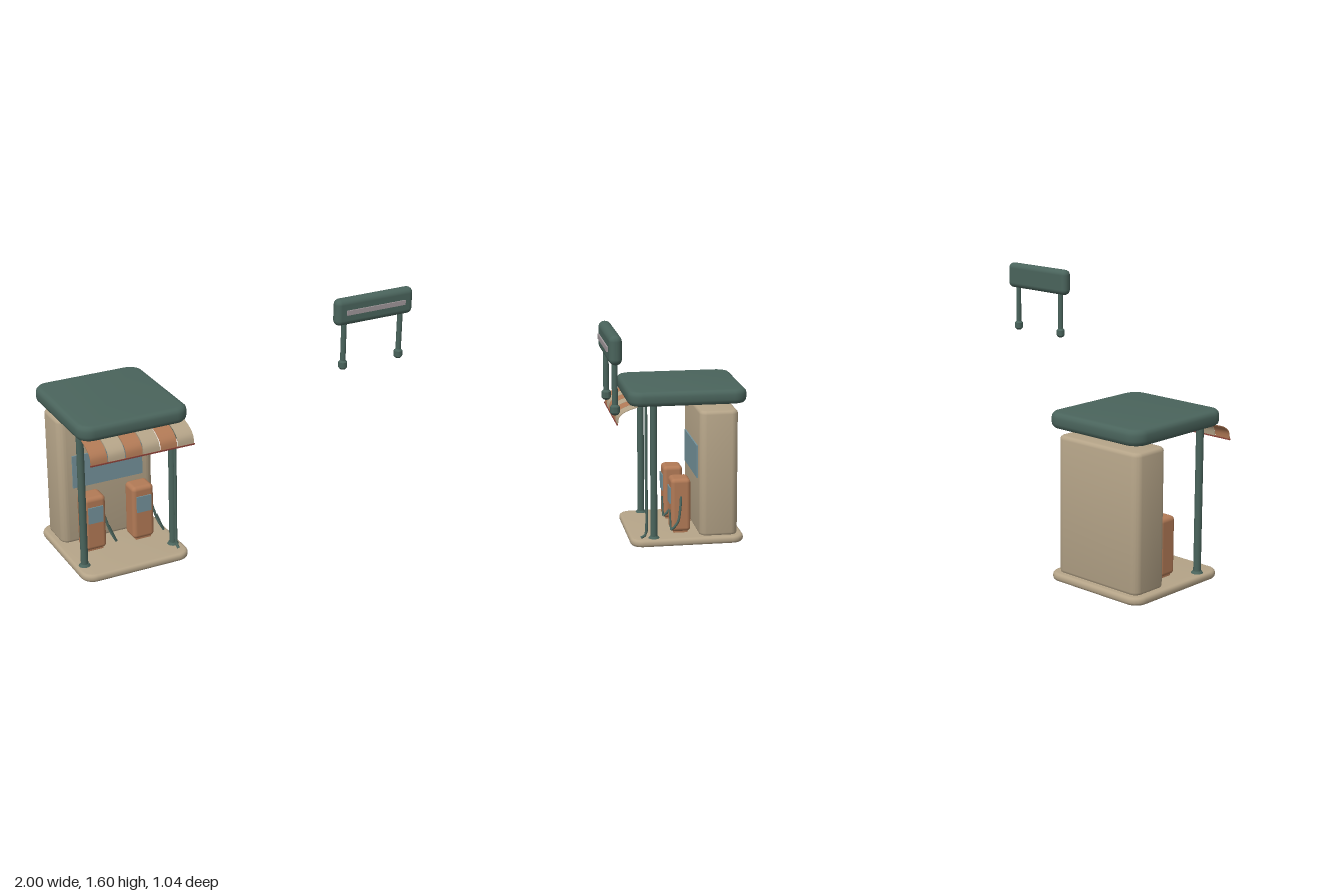
import * as THREE from 'three';
import { toCreasedNormals } from 'three/addons/utils/BufferGeometryUtils.js';
import { RoundedBoxGeometry } from 'three/addons/geometries/RoundedBoxGeometry.js';

const paint = (name, color) => {
  const m = new THREE.MeshStandardMaterial({ color });
  m.name = name;
  return m;
};

// Slab standing on y = 0 with rounded plan corners (r) and softened rims (b)
function slab(w, h, d, r, b) {
  const x = w / 2 - b, y = d / 2 - b, q = r - b;
  const s = new THREE.Shape();
  s.absarc(x - q, y - q, q, 0, Math.PI / 2);
  s.absarc(-x + q, y - q, q, Math.PI / 2, Math.PI);
  s.absarc(-x + q, -y + q, q, Math.PI, Math.PI * 1.5);
  s.absarc(x - q, -y + q, q, Math.PI * 1.5, Math.PI * 2);
  s.closePath();
  const g = new THREE.ExtrudeGeometry(s, {
    depth: h - 2 * b, bevelThickness: b, bevelSize: b, bevelSegments: 3, curveSegments: 6,
  });
  g.rotateX(-Math.PI / 2).translate(0, b, 0);
  return toCreasedNormals(g, 0.7);
}

const tube = (points, radius, segments = 16) => new THREE.TubeGeometry(
  new THREE.CatmullRomCurve3(points.map(p => new THREE.Vector3(...p)), false, 'centripetal'),
  segments, radius, 8);

export function createModel() {
  const model = new THREE.Group();
  model.name = 'fuelStation';
  const green = paint('dark green', 0x4a645c);
  const beige = paint('beige', 0xb5a488);
  const orange = paint('burnt orange', 0xb27a56);
  const blue = paint('glass blue', 0x74929a);
  const grey = paint('warm grey', 0xa0979a);
  const red = paint('brick red', 0x8c4238);

  const add = (name, geometry, material, x = 0, y = 0, z = 0, parent = model) => {
    const m = new THREE.Mesh(geometry, material);
    m.name = name;
    m.position.set(x, y, z);
    parent.add(m);
    return m;
  };
  const cx = -0.655;

  // Floor, kiosk and roof
  add('floorSlab', slab(0.69, 0.047, 0.725, 0.08, 0.018), beige, cx, 0, -0.143);
  add('kiosk', slab(0.61, 0.815, 0.246, 0.05, 0.022), beige, cx, 0.04, -0.345);
  add('kioskWindow', new THREE.BoxGeometry(0.455, 0.21, 0.009), blue, cx, 0.515, -0.2165);
  add('roof', slab(0.69, 0.092, 0.75, 0.09, 0.03), green, cx, 0.904, -0.145);
  add('ceilingPanel', new THREE.BoxGeometry(0.58, 0.008, 0.62), green, cx, 0.903, -0.145);

  // Front columns with flared feet, and a ceiling lamp over each pump
  for (const side of [-1, 1]) {
    const x = cx + side * 0.29;
    add('column', new THREE.CylinderGeometry(0.022, 0.022, 0.87, 16), green, x, 0.475, 0.072);
    add('columnFoot', new THREE.CylinderGeometry(0.026, 0.036, 0.014, 16), green, x, 0.053, 0.072);
    add('ceilingLamp', new THREE.CylinderGeometry(0.05, 0.05, 0.008, 20), grey, cx + side * 0.2, 0.898, 0.04);
  }

  // Drainpipe in front of one column, kicked out at the bottom
  add('drainpipe', tube([[-0.367, 0.91, 0.12], [-0.367, 0.5, 0.12], [-0.367, 0.09, 0.12],
    [-0.367, 0.068, 0.125], [-0.367, 0.05, 0.155]], 0.009, 30), green);

  // Striped awning: a thin curved profile repeated across the front
  const awning = new THREE.Group();
  awning.name = 'awning';
  model.add(awning);
  const curve = new THREE.SplineCurve([[0.175, 0.907], [0.25, 0.882], [0.293, 0.847], [0.303, 0.799]]
    .map(p => new THREE.Vector2(...p)));
  const outer = curve.getPoints(9);
  const inner = outer.map((p, i) => {
    const t = curve.getTangent(i / 9);
    return new THREE.Vector2(p.x + t.y * 0.005, p.y - t.x * 0.005);
  });
  const profile = new THREE.Shape([...outer, ...inner.reverse()]);
  const pitch = 0.65 / 6;
  for (let i = 0; i < 6; i++) {
    const g = new THREE.ExtrudeGeometry(profile, { depth: pitch - 0.006, bevelEnabled: false });
    g.rotateY(-Math.PI / 2);
    add('awningStripe', toCreasedNormals(g, 0.6), i % 2 ? beige : orange,
      -0.98 + pitch * (i + 1) - 0.003, 0, 0, awning);
  }
  add('awningTrim', new THREE.BoxGeometry(0.65, 0.008, 0.009), red, cx, 0.799, 0.302, awning);

  // Fuel pumps, each with a display, hose and nozzle
  for (const x of [-0.8125, -0.4975]) {
    const pump = new THREE.Group();
    pump.name = 'fuelPump';
    pump.position.x = x;
    model.add(pump);
    add('pumpBody', new RoundedBoxGeometry(0.14, 0.348, 0.127, 3, 0.026), orange, 0, 0.231, -0.113, pump);
    add('pumpPlinth', new THREE.BoxGeometry(0.1, 0.03, 0.09), orange, 0, 0.055, -0.113, pump);
    add('pumpDisplay', new THREE.BoxGeometry(0.095, 0.105, 0.009), blue, 0, 0.293, -0.0475, pump);
    add('hose', tube([[0.066, 0.29, -0.113], [0.085, 0.22, -0.105], [0.105, 0.145, -0.09],
      [0.117, 0.11, -0.065], [0.124, 0.09, -0.038]], 0.008), green, 0, 0, 0, pump);
    add('nozzle', tube([[0.124, 0.09, -0.038], [0.1, 0.15, -0.038], [0.076, 0.21, -0.038]], 0.006, 6),
      green, 0, 0, 0, pump);
  }

  // Detached sign on two posts
  const sign = new THREE.Group();
  sign.name = 'sign';
  sign.position.set(0.74, 0, 0.475);
  model.add(sign);
  add('signBoard', new RoundedBoxGeometry(0.52, 0.16, 0.07, 3, 0.033), green, 0, 1.515, 0, sign);
  add('signStripe', new THREE.BoxGeometry(0.395, 0.028, 0.009), grey, 0, 1.515, 0.0385, sign);
  const foot = [[0, 0], [0.016, 0], [0.026, 0.012], [0.026, 0.044], [0.016, 0.055], [0, 0.055]]
    .map(p => new THREE.Vector2(...p));
  for (const x of [-0.193, 0.19]) {
    add('signPost', new THREE.CylinderGeometry(0.016, 0.016, 0.25, 14), green, x, 1.325, 0, sign);
    add('signPostFoot', toCreasedNormals(new THREE.LatheGeometry(foot, 14), 0.6), green, x, 1.16, 0, sign);
  }
  return model;
}
